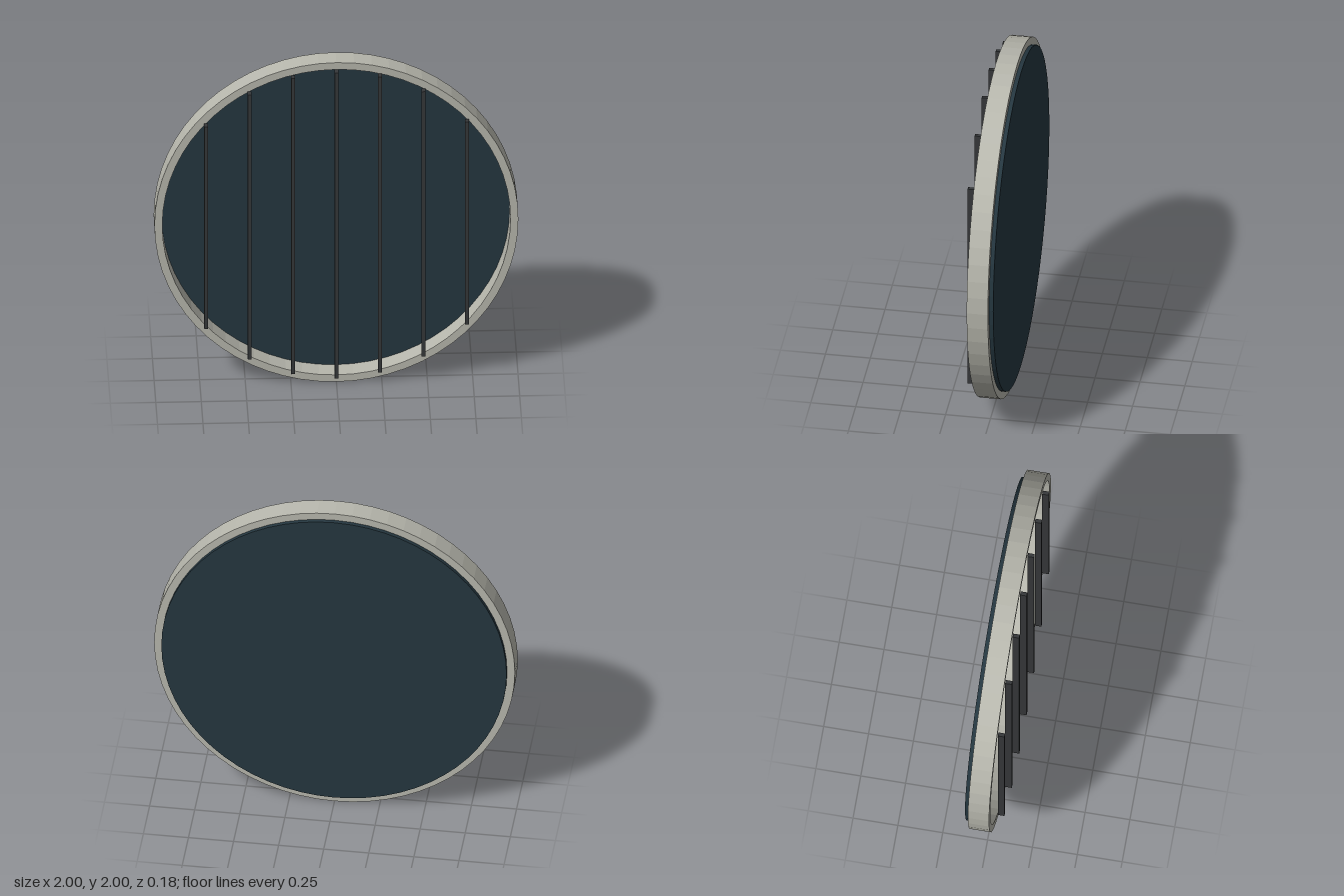
import * as THREE from 'three';

const SEGMENTS = 64;
const OUTER = 1, INNER = 0.957;

const paint = (color) => new THREE.MeshStandardMaterial({ color, flatShading: true });

function addMesh(group, name, geometry, material, x, y, z) {
  const mesh = new THREE.Mesh(geometry, material);
  mesh.name = name;
  mesh.position.set(x, y, z);
  group.add(mesh);
  return mesh;
}

export function createModel() {
  const group = new THREE.Group();
  group.name = 'barredRoundWindow';

  // Round frame: a rectangular section turned about the depth axis
  const back = -0.067, front = 0.051;
  const section = [
    [INNER, back], [OUTER, back], [OUTER, front], [INNER, front], [INNER, back],
  ].map(([r, z]) => new THREE.Vector2(r, z));
  const ring = new THREE.LatheGeometry(section, SEGMENTS).rotateX(Math.PI / 2);
  addMesh(group, 'frame', ring, paint(0xb8b8ae), 0, 1, 0);

  // Dark pane set against the back of the frame
  const pane = new THREE.CylinderGeometry(INNER, INNER, 0.024, SEGMENTS).rotateX(Math.PI / 2);
  addMesh(group, 'pane', pane, paint(0x253740), 0, 1, -0.078);

  // Vertical bars in front, each cut to the chord of the opening
  const barMaterial = paint(0x36383a);
  for (let i = -3; i <= 3; i++) {
    const x = i * 0.239;
    const length = 2 * Math.sqrt(INNER * INNER - x * x);
    addMesh(group, 'bar', new THREE.BoxGeometry(0.021, length, 0.037), barMaterial, x, 1, 0.0715);
  }

  return group;
}
